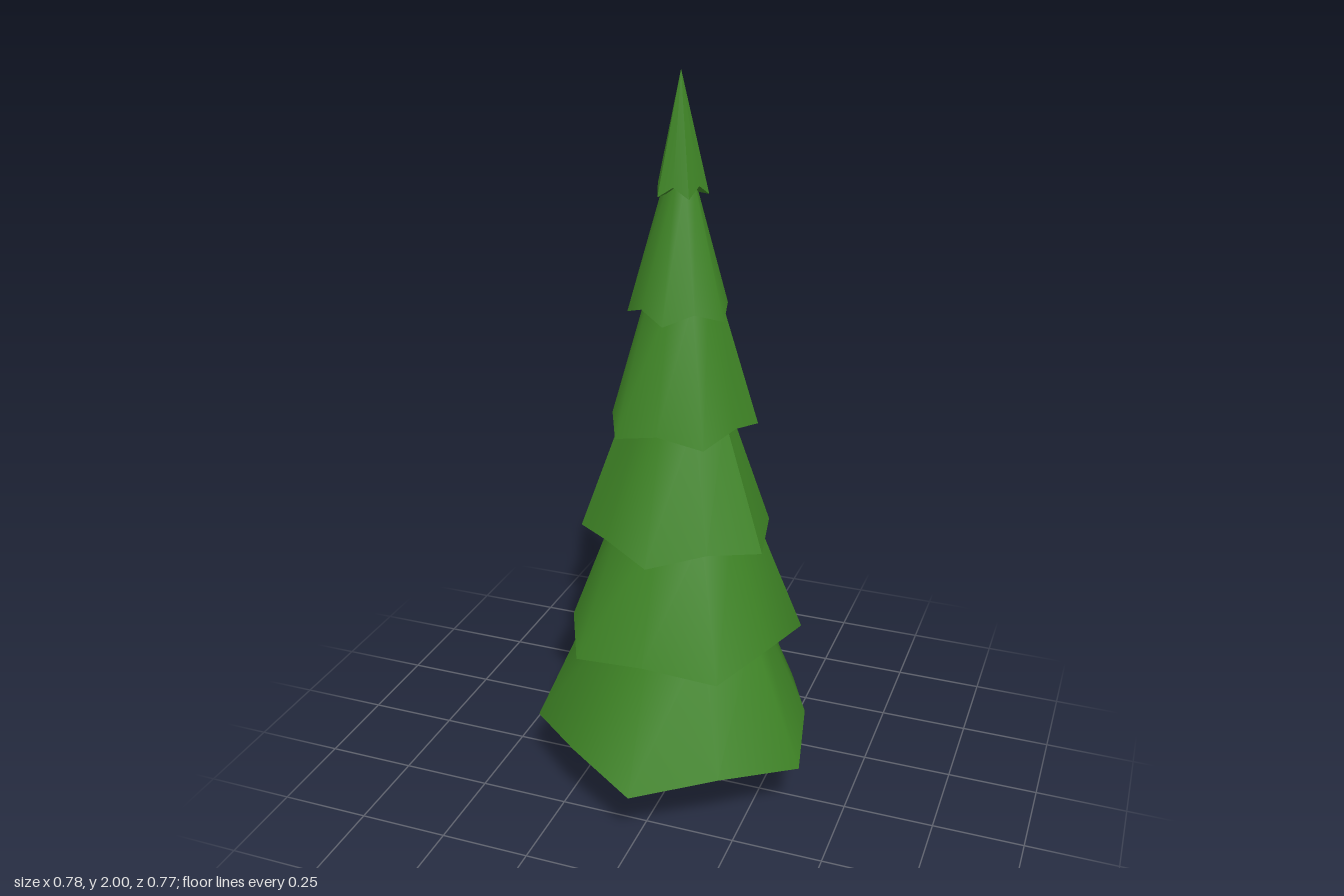
import * as THREE from 'three';

const CENTER_Z = -0.025;
const SIDES = 10; // five low tips alternating with five raised notches

// One rim of a tier: tips on even columns, notches on odd ones
function rimPoint(col, turn, rTip, rNotch, yTip, yNotch) {
  const a = turn + (col / SIDES) * Math.PI * 2;
  const notch = col % 2 === 1;
  const r = notch ? rNotch : rTip;
  return [Math.sin(a) * r, notch ? yNotch : yTip, Math.cos(a) * r];
}

// Sloping skirt; normals are smooth except along the creased columns
function skirtGeometry(t) {
  const pos = [], index = [];
  const add = (col) => {
    pos.push(...rimPoint(col, t.turn, t.r, t.notch, t.y, t.y + 0.027));
    pos.push(...rimPoint(col, t.turn, t.top, t.top * t.notch / t.r, t.yTop, t.yTop));
    return pos.length / 3 - 2;
  };
  const first = add(2);
  let prev = first;
  for (let i = 1; i <= SIDES; i++) {
    const col = (i + 2) % SIDES;
    const creased = t.creases.includes(col);
    const next = i === SIDES && !creased ? first : add(col);
    index.push(prev, next, next + 1, prev, next + 1, prev + 1);
    prev = creased && i < SIDES ? add(col) : next;
  }
  return finish(pos, index);
}

// Shallow hollow underside, closed to the axis
function undersideGeometry(t) {
  const pos = [0, t.y + t.r * 0.2, 0], index = [];
  for (let i = 0; i < SIDES; i++) {
    pos.push(...rimPoint(i, t.turn, t.r, t.notch, t.y, t.y + 0.027));
    index.push(0, ((i + 1) % SIDES) + 1, i + 1);
  }
  return finish(pos, index);
}

function finish(pos, index) {
  const g = new THREE.BufferGeometry();
  g.setAttribute('position', new THREE.Float32BufferAttribute(pos, 3));
  g.setIndex(index);
  g.computeVertexNormals();
  return g;
}

export function createModel() {
  const model = new THREE.Group();
  model.name = 'pineTree';
  const tree = new THREE.Group();
  tree.name = 'tree';
  tree.position.z = CENTER_Z;
  model.add(tree);

  const needles = new THREE.MeshStandardMaterial({ color: 0x3f8526 });
  needles.name = 'needleGreen';
  const bark = new THREE.MeshStandardMaterial({ color: 0x4a2e24 });
  bark.name = 'barkBrown';

  const part = (name, geometry, material, parent) => {
    const m = new THREE.Mesh(geometry, material);
    m.name = name;
    parent.add(m);
  };

  // Flared trunk with a flat foot
  const profile = [[0.067, 0], [0.053, 0.05], [0.042, 0.1], [0.036, 0.16], [0.033, 0.27]];
  part('trunk', new THREE.LatheGeometry(profile.map(([r, y]) => new THREE.Vector2(r, y)), 12), bark, tree);
  const foot = new THREE.CircleGeometry(0.067, 12);
  foot.rotateX(Math.PI / 2);
  part('trunkFoot', foot, bark, tree);

  // Branch tiers, each turned half a tip from the one below
  const tiers = [
    { y: 0.17, r: 0.41, notch: 0.358, top: 0.245, yTop: 0.54, creases: [] },
    { y: 0.48, r: 0.338, notch: 0.3, top: 0.195, yTop: 0.84, creases: [] },
    { y: 0.785, r: 0.27, notch: 0.24, top: 0.142, yTop: 1.14, creases: [2, 8] },
    { y: 1.09, r: 0.204, notch: 0.18, top: 0.1, yTop: 1.44, creases: [2, 8] },
    { y: 1.395, r: 0.137, notch: 0.12, top: 0.042, yTop: 1.73, creases: [] },
    { y: 1.7, r: 0.07, notch: 0.057, top: 0.0005, yTop: 2, creases: [0, 2, 4, 6, 8] },
  ];
  tiers.forEach((tier, i) => {
    const t = { ...tier, turn: (i % 2) * Math.PI };
    const group = new THREE.Group();
    group.name = `branchTier${i + 1}`;
    part('branchSkirt', skirtGeometry(t), needles, group);
    part('branchUnderside', undersideGeometry(t), needles, group);
    tree.add(group);
  });
  return model;
}
